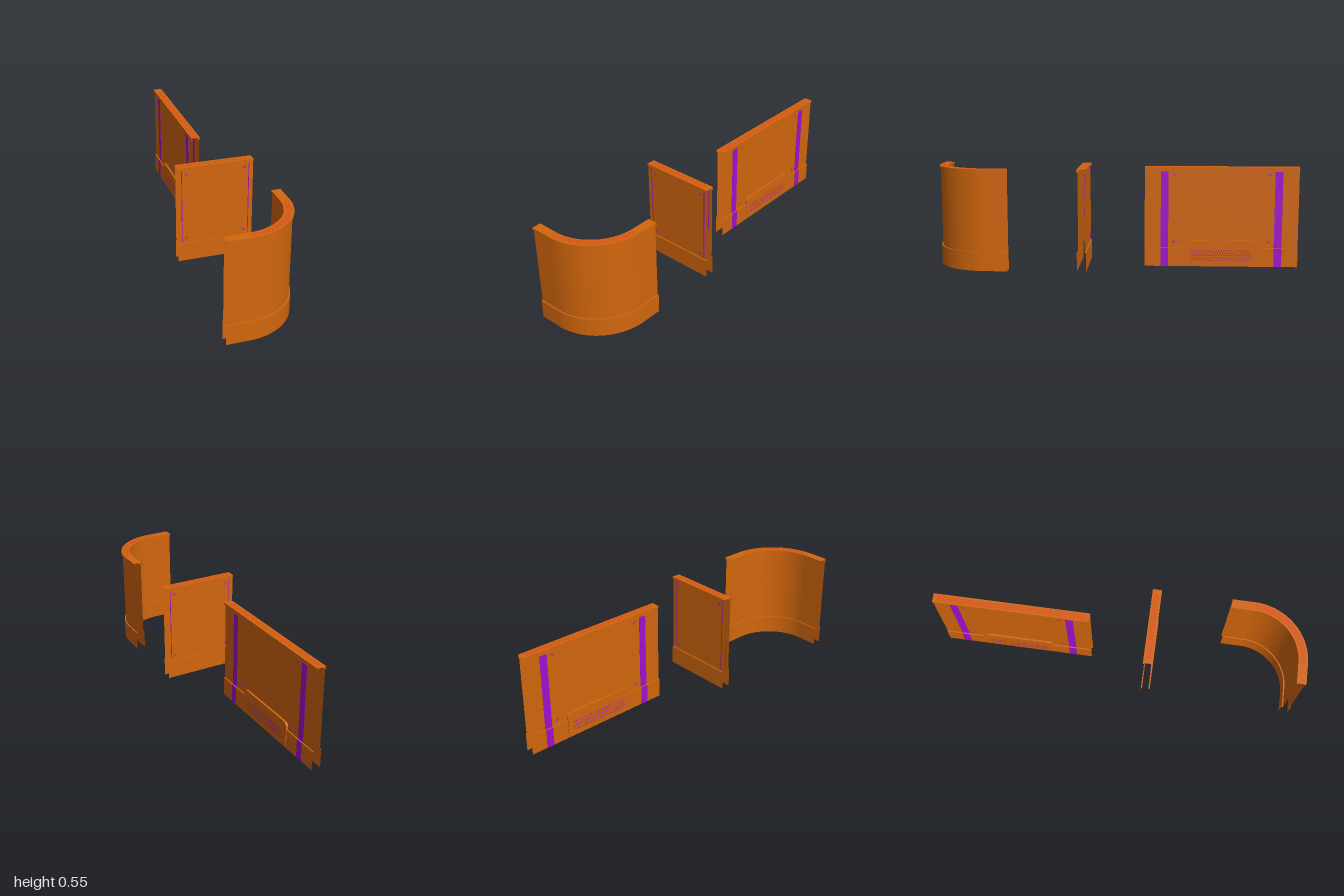
import * as THREE from 'three';
import { mergeGeometries } from 'three/addons/utils/BufferGeometryUtils.js';

const material = (color) => new THREE.MeshStandardMaterial({ color, side: THREE.DoubleSide });
const orange = material(0xd2660d);
const purple = material(0xa010d0);
const red = material(0xe0401a);

const HALF = 0.025, SKIN = 0.018, SKIRT_TOP = 0.105, CAP_BASE = 0.54, TOP = 0.553;

function mesh(name, geometry, mat, x = 0, y = 0, z = 0) {
  const m = new THREE.Mesh(geometry, mat);
  m.name = name;
  m.position.set(x, y, z);
  return m;
}

// Each path gives position and sideways normal at a distance along it
const straightPath = (length) => (s) => ({ x: s - length / 2, z: 0, nx: 0, nz: 1 });

const BEND = 0.28, LEG = 0.115, ARC = BEND * Math.PI / 2;
function curvedPath(s) {
  const a = THREE.MathUtils.clamp((s - LEG) / BEND, 0, Math.PI / 2);
  const nx = Math.sin(a), nz = Math.cos(a);
  const before = Math.min(s - LEG, 0), after = Math.max(s - LEG - ARC, 0);
  return { x: -0.095 + BEND * nx + before, z: 0.695 + BEND * nz - after, nx, nz };
}

// Sweep one profile line (sideways offset, height) along a path
function sheet(path, stops, from, to) {
  const positions = [], index = [];
  stops.forEach((s, i) => {
    const p = path(s);
    for (const [h, y] of [from, to]) positions.push(p.x + p.nx * h, y, p.z + p.nz * h);
    if (i) {
      const k = i * 2;
      index.push(k - 2, k, k - 1, k - 1, k, k + 1);
    }
  });
  const g = new THREE.BufferGeometry();
  g.setAttribute('position', new THREE.Float32BufferAttribute(positions, 3));
  g.setIndex(index);
  g.computeVertexNormals();
  return g;
}

function profileMesh(name, path, stops, profile) {
  const strips = profile.slice(1).map((p, i) => sheet(path, stops, profile[i], p));
  return mesh(name, mergeGeometries(strips), orange);
}

// Hollow partition: stepped skirts, two skins and a perforated cap, open at the ends
function shell(path, stops, dotFrom, dotTo) {
  const group = new THREE.Group();
  for (const [side, label] of [[1, 'outer'], [-1, 'inner']]) {
    group.add(
      profileMesh(label + 'Skirt', path, stops,
        [[side * HALF, 0], [side * HALF, SKIRT_TOP], [side * SKIN, SKIRT_TOP]]),
      profileMesh(label + 'Skin', path, stops, [[side * SKIN, SKIRT_TOP], [side * SKIN, CAP_BASE]]),
    );
  }
  group.add(profileMesh('topCap', path, stops, [
    [SKIN, CAP_BASE], [HALF, CAP_BASE], [HALF, TOP],
    [-HALF, TOP], [-HALF, CAP_BASE], [-SKIN, CAP_BASE],
  ]));

  // Cap perforations
  const dots = [];
  const pitch = 0.011, count = Math.floor((dotTo - dotFrom) / pitch);
  for (let row = -1; row <= 1; row++) {
    for (let i = 0; i < count; i++) {
      const p = path(dotFrom + (i + (row ? 0.25 : 0.75)) * pitch);
      dots.push(new THREE.CircleGeometry(0.0038, 6).rotateX(-Math.PI / 2)
        .translate(p.x + p.nx * row * 0.01, TOP + 0.0006, p.z + p.nz * row * 0.01));
    }
  }
  group.add(mesh('capPerforations', mergeGeometries(dots), red));
  return group;
}

// Diagonal slots at the four corners of both faces
function addCornerSlots(group, x) {
  for (const face of [-1, 1]) for (const sx of [-1, 1]) for (const y of [0.135, 0.51]) {
    const slot = mesh('cornerSlot', new THREE.BoxGeometry(0.02, 0.005, 0.001), purple,
      sx * x, y, face * (SKIN + 0.0005));
    slot.rotation.z = sx * (y > 0.3 ? 1 : -1) * Math.PI / 4;
    group.add(slot);
  }
}

function straightPanel(name, length) {
  const panel = shell(straightPath(length), [0, length], 0.02, length - 0.02);
  panel.name = name;
  return panel;
}

// Raised grille plate with chamfered top corners and a field of small holes
function addGrille(group, face) {
  const s = new THREE.Shape();
  s.moveTo(-0.2, 0.012);
  s.lineTo(0.2, 0.012);
  s.lineTo(0.2, 0.125);
  s.quadraticCurveTo(0.198, 0.142, 0.175, 0.146);
  s.lineTo(-0.175, 0.146);
  s.quadraticCurveTo(-0.198, 0.142, -0.2, 0.125);
  const plate = new THREE.ExtrudeGeometry(s, { depth: 0.011, bevelEnabled: false, curveSegments: 4 });
  plate.translate(0, 0, SKIN);
  const dots = [];
  for (let row = 0; row < 5; row++) {
    for (let i = 0; i < 24; i++) {
      dots.push(new THREE.CircleGeometry(0.0036, 6)
        .translate((i - 11.5 + (row % 2 ? 0.25 : -0.25)) * 0.014, 0.038 + row * 0.0125, 0.0296));
    }
  }
  const grille = new THREE.Group();
  grille.name = 'ventGrille';
  grille.add(mesh('ventPlate', plate, orange), mesh('ventHoles', mergeGeometries(dots), purple));
  if (face < 0) grille.rotation.y = Math.PI;
  group.add(grille);
}

export function createModel() {
  const model = new THREE.Group();
  model.name = 'partitionPanels';

  // Curved corner panel
  const total = ARC + 2 * LEG;
  const stops = [0];
  for (let i = 0; i <= 32; i++) stops.push(LEG + ARC * i / 32);
  stops.push(total);
  const corner = shell(curvedPath, stops, LEG, total - LEG);
  corner.name = 'curvedPanel';
  model.add(corner);

  // Short straight panel with narrow edge reveals
  const short = straightPanel('shortPanel', 0.42);
  for (const face of [-1, 1]) for (const sx of [-1, 1]) {
    short.add(mesh('edgeReveal', new THREE.BoxGeometry(0.004, 0.42, 0.001), purple,
      sx * 0.186, 0.322, face * (SKIN + 0.0005)));
  }
  addCornerSlots(short, 0.162);
  short.position.z = 0.178;
  model.add(short);

  // Long panel with coloured uprights and low vents
  const long = straightPanel('longPanel', 0.843);
  for (const face of [-1, 1]) {
    for (const sx of [-1, 1]) {
      long.add(
        mesh('upperStripe', new THREE.BoxGeometry(0.042, 0.42, 0.001), purple,
          sx * 0.312, 0.316, face * (SKIN + 0.0005)),
        mesh('skirtStripe', new THREE.BoxGeometry(0.042, SKIRT_TOP, 0.001), purple,
          sx * 0.312, SKIRT_TOP / 2, face * (HALF + 0.0005)),
      );
    }
    addGrille(long, face);
  }
  addCornerSlots(long, 0.26);
  long.rotation.y = Math.PI / 2;
  long.position.z = -0.5785;
  model.add(long);

  return model;
}
